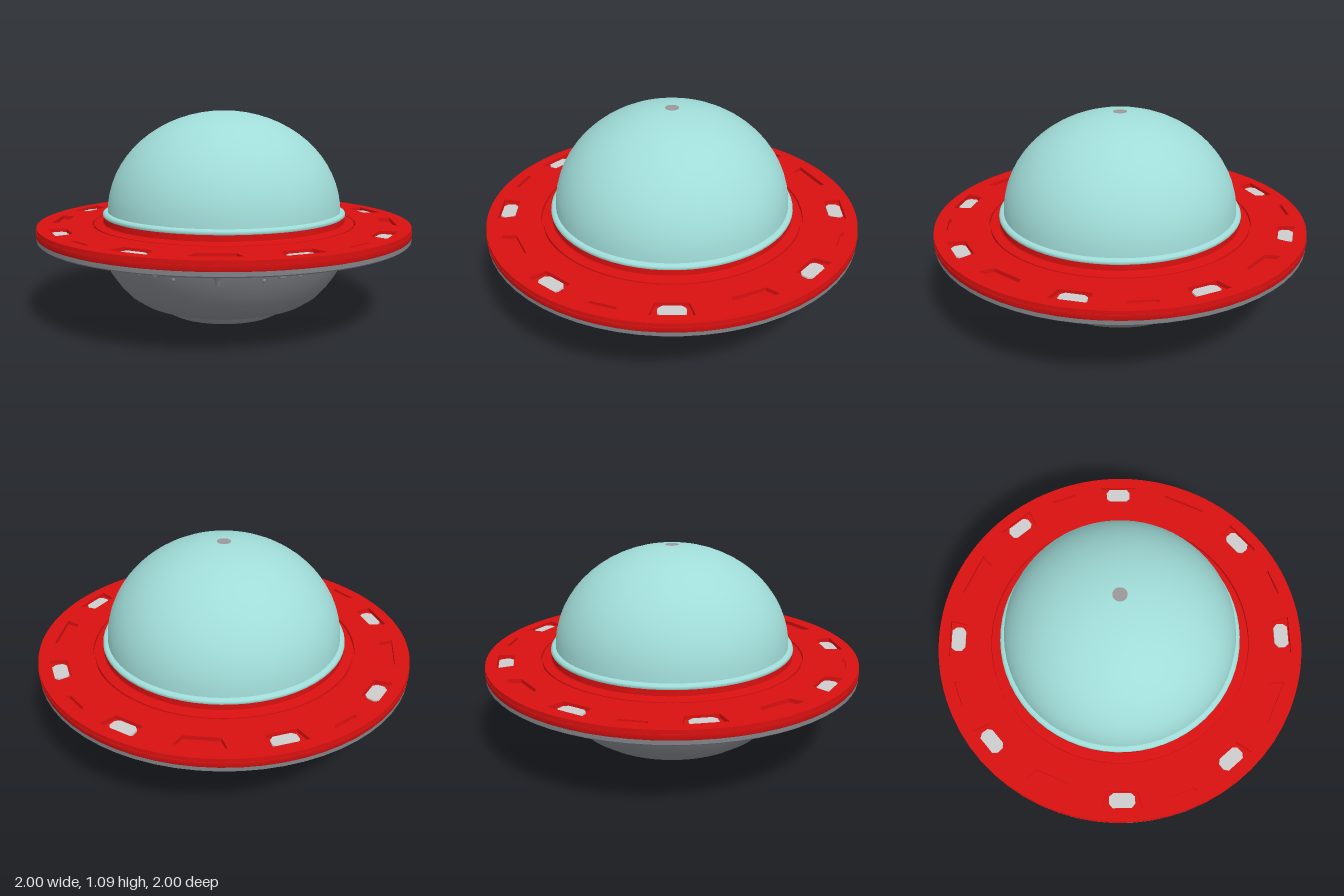
import * as THREE from 'three';
import { toCreasedNormals } from 'three/addons/utils/BufferGeometryUtils.js';

const material = (name, color, extra = {}) => {
  const m = new THREE.MeshStandardMaterial({ color, ...extra });
  m.name = name;
  return m;
};

export function createModel() {
  const model = new THREE.Group();
  model.name = 'flyingSaucer';
  const red = material('red', 0xd81010);
  const grey = material('hull grey', 0x808286);
  const glass = material('aqua dome', 0xa0dcd8);
  const lampWhite = material('lamp grey', 0xcccccc);
  const yellow = material('thruster yellow', 0xb0a000);
  const dotGrey = material('dome cap grey', 0x9a9798);

  const add = (name, geometry, mat, parent = model) => {
    const mesh = new THREE.Mesh(geometry, mat);
    mesh.name = name;
    parent.add(mesh);
    return mesh;
  };
  // Revolved profile, listed from the bottom upward as [radius, y]
  const lathe = (name, points, mat, crease = 0.6) => add(name, toCreasedNormals(
    new THREE.LatheGeometry(points.map(p => new THREE.Vector2(...p)), 64), crease), mat);
  // Group turned so that its local +z points outward
  const spoke = (name, degrees) => {
    const g = new THREE.Group();
    g.name = name;
    g.rotation.y = THREE.MathUtils.degToRad(degrees);
    model.add(g);
    return g;
  };

  // Lower hull and foot ring
  lathe('hull', [[0.33, 0.046], [0.40, 0.054], [0.46, 0.075], [0.52, 0.115], [0.57, 0.17],
    [0.615, 0.235], [0.65, 0.30], [0.675, 0.36], [0.69, 0.42]], grey, 1);
  lathe('footRing', [[0.215, 0.03], [0.225, 0.012], [0.245, 0.008], [0.26, 0.002], [0.275, 0],
    [0.30, 0], [0.315, 0.008], [0.325, 0.03], [0.335, 0.04], [0.335, 0.052]], grey, 0.9);
  const thruster = add('thruster', new THREE.CircleGeometry(0.22, 48), yellow);
  thruster.rotation.x = Math.PI / 2;
  thruster.position.y = 0.024;

  // Saucer disc: grey underside and red upper layer
  lathe('discUnderside', [[0.66, 0.418], [0.99, 0.418], [0.998, 0.425], [0.998, 0.448]], grey);
  lathe('discFloor', [[0.998, 0.446], [1, 0.45], [1, 0.474], [0.64, 0.474]], red);

  // Pierced top plate, whose openings form the recesses
  const plate = new THREE.Shape().absarc(0, 0, 0.997, 0, Math.PI * 2);
  plate.holes.push(new THREE.Path().absarc(0, 0, 0.708, 0, Math.PI * 2, true));
  const recess = (degrees, r0, r1, innerWidth, outerWidth) => {
    const a = THREE.MathUtils.degToRad(degrees);
    const corners = [[r0, -innerWidth / 2], [r1, -outerWidth / 2], [r1, outerWidth / 2], [r0, innerWidth / 2]];
    plate.holes.push(new THREE.Path(corners.map(([r, t]) => new THREE.Vector2(
      r * Math.cos(a) - t * Math.sin(a), r * Math.sin(a) + t * Math.cos(a)))));
  };
  for (let q = 0; q < 360; q += 90) {
    recess(q, 0.845, 0.915, 0.18, 0.25);
    recess(q + 45, 0.91, 0.928, 0.13, 0.15);
    for (const s of [-1, 1]) recess(q + s * 25, 0.845, 0.935, 0.16, 0.21);
  }
  const plateGeometry = new THREE.ExtrudeGeometry(plate, { depth: 0.022, bevelEnabled: false, curveSegments: 64 });
  plateGeometry.rotateX(-Math.PI / 2);
  add('discTop', plateGeometry, red).position.y = 0.473;

  // Lamps seated in eight of the recesses
  const lampShape = new THREE.Shape();
  [[-0.05, -0.038], [0.05, -0.038], [0.068, -0.015], [0.066, 0.02], [0.045, 0.038], [-0.045, 0.038],
    [-0.066, 0.02], [-0.068, -0.015]].forEach(([x, y], i) => i ? lampShape.lineTo(x, y) : lampShape.moveTo(x, y));
  const lampGeometry = new THREE.ExtrudeGeometry(lampShape, { depth: 0.009, bevelEnabled: false });
  lampGeometry.rotateX(-Math.PI / 2);
  for (let q = 0; q < 360; q += 90) for (const s of [-1, 1]) {
    add('lamp', lampGeometry, lampWhite, spoke('lampMount', q + s * 25)).position.set(0, 0.474, 0.89);
  }

  // Collar, dome lip and dome
  lathe('collar', [[0.70, 0.474], [0.70, 0.496], [0.655, 0.50], [0.65, 0.505], [0.65, 0.536], [0.60, 0.536]], red);
  lathe('domeLip', [[0.62, 0.532], [0.645, 0.532], [0.653, 0.54], [0.651, 0.553], [0.64, 0.56], [0.61, 0.56]], glass, 1.2);
  const domeProfile = [];
  for (let i = 0; i <= 16; i++) {
    const t = (i / 16) * Math.PI / 2;
    domeProfile.push([i === 16 ? 0 : 0.627 * Math.cos(t), 0.55 + 0.54 * Math.sin(t)]);
  }
  lathe('dome', domeProfile, glass, 1);
  const cap = add('domeCap', new THREE.CircleGeometry(0.037, 24), dotGrey);
  cap.rotation.x = -Math.PI / 2;
  cap.position.y = 1.0915;

  // Four clips under the disc
  const clipBody = new THREE.CylinderGeometry(0.036, 0.02, 0.085, 8);
  const clipTip = new THREE.CylinderGeometry(0.016, 0.013, 0.04, 8);
  for (let q = 0; q < 360; q += 90) {
    const clip = spoke('clip', q);
    const body = add('clipBody', clipBody, grey, clip);
    body.position.set(0, 0.38, 0.705);
    body.rotation.x = 0.3;
    const tip = add('clipTip', clipTip, grey, clip);
    tip.position.set(0, 0.328, 0.69);
    tip.rotation.x = 0.3;
  }

  // Portholes and rivets around the hull shoulder
  const ring = new THREE.TorusGeometry(0.03, 0.007, 6, 20);
  const rivet = new THREE.SphereGeometry(0.01, 8, 6);
  for (let q = 0; q < 360; q += 90) {
    for (const s of [-1, 1]) {
      const port = add('porthole', ring, grey, spoke('portholeMount', q + s * 27));
      port.position.set(0, 0.352, 0.673);
      port.rotation.x = 0.4;
    }
    for (const [a, y, r] of [[14, 0.35, 0.671], [19, 0.315, 0.656], [36, 0.32, 0.658],
      [45, 0.36, 0.675], [54, 0.32, 0.658], [71, 0.315, 0.656], [76, 0.35, 0.671]]) {
      add('rivet', rivet, grey, spoke('rivetMount', q + a)).position.set(0, y, r);
    }
  }

  // Shallow panels and rings beneath the disc
  const panel = new THREE.BoxGeometry(0.14, 0.006, 0.04);
  for (let q = 0; q < 360; q += 90) {
    add('undersidePanel', panel, grey, spoke('panelMount', q + 45)).position.set(0, 0.417, 0.90);
    for (const s of [-1, 1]) {
      const seat = add('undersideRing', new THREE.TorusGeometry(0.045, 0.005, 6, 20), grey, spoke('ringMount', q + s * 25));
      seat.position.set(0, 0.418, 0.86);
      seat.rotation.x = Math.PI / 2;
    }
  }

  // Red trim strip on the left shoulder
  const strip = new THREE.CylinderGeometry(0.689, 0.684, 0.014, 16, 1, true, Math.PI / 2 - 0.2, 0.46);
  add('shoulderTrim', strip, red).position.y = 0.398;

  return model;
}
